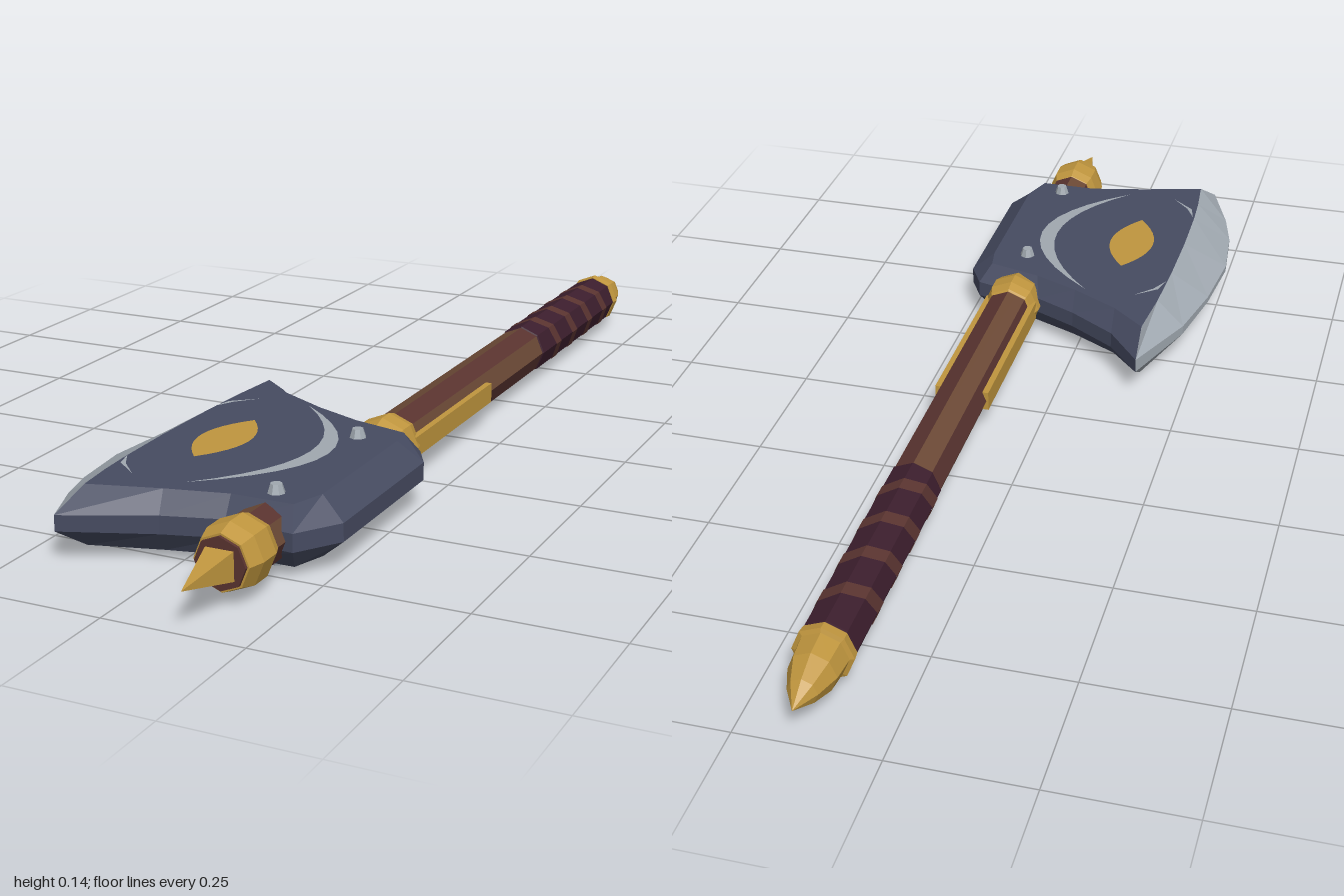
import * as THREE from 'three';

const AX = 0.143, CY = 0.072, HALF = 0.053; // haft axis and half thickness of the head

const mat = (name, color, side = THREE.FrontSide) => {
  const m = new THREE.MeshStandardMaterial({ color, flatShading: true, side });
  m.name = name;
  return m;
};

export function createModel() {
  const slate = mat('slate steel', 0x464b61);
  const silver = mat('bright steel', 0xa0a8b0, THREE.DoubleSide);
  const gold = mat('gold', 0xc0963e, THREE.DoubleSide);
  const brown = mat('brown wood', 0x6c4a36);
  const red = mat('red wood', 0x5a3430, THREE.DoubleSide);
  const purple = mat('dark leather', 0x3c1e2d);

  const model = new THREE.Group();
  model.name = 'battleAxe';
  const add = (name, geo, material, x = 0, y = 0, z = 0) => {
    const mesh = new THREE.Mesh(geo, material);
    mesh.name = name;
    mesh.position.set(x, y, z);
    model.add(mesh);
    return mesh;
  };

  // Octagonal turned part along the haft: profile of [radius, z]
  const turned = (name, profile, material, sides = 8) => {
    const pts = profile.map(([r, z]) => new THREE.Vector2(r, z));
    return add(name, new THREE.LatheGeometry(pts, sides).rotateX(Math.PI / 2), material, AX, CY);
  };

  // Haft with alternating wood tones on its eight faces
  const haft = new THREE.CylinderGeometry(0.049, 0.049, 1.29, 8, 1, true).rotateX(Math.PI / 2);
  haft.clearGroups();
  for (let i = 0; i < 8; i++) haft.addGroup(i * 6, 6, i % 2);
  add('haft', haft, [brown, red], AX, CY, 0.235);
  turned('haftEnd', [[0.047, 0.86], [0.045, 0.885], [0, 0.885]], red);

  // Leather grip and its spiral strap
  turned('grip', [[0.049, -0.86], [0.051, -0.84], [0.051, -0.39], [0.048, -0.385]], purple);
  const strap = [];
  for (let i = 0; i <= 32; i++) {
    const a = i * Math.PI / 4, z = -0.82 + i * 0.0125;
    strap.push([0, 0.03].map(w => [Math.sin(a) * 0.0525 + AX, CY - Math.cos(a) * 0.0525, z + w]));
  }
  add('gripStrap', ribbon(strap), red);

  // Gold fittings
  turned('pommel', [[0, -1], [0.026, -0.955], [0.042, -0.91], [0.046, -0.865], [0.054, -0.862],
    [0.052, -0.845], [0, -0.845]], gold);
  turned('lowerCollar', [[0.046, 0.24], [0.052, 0.25], [0.058, 0.27], [0.058, 0.3], [0.05, 0.325]], gold);
  turned('upperCollar', [[0.046, 0.785], [0.05, 0.79], [0.058, 0.81], [0.058, 0.85],
    [0.049, 0.88], [0.045, 0.88]], gold);
  const spike = new THREE.ConeGeometry(0.035, 0.115, 4).rotateY(Math.PI / 4).rotateX(Math.PI / 2);
  add('spike', spike, gold, AX, CY, 0.9425);
  for (const s of [-1, 1]) {
    add('sidePlate', new THREE.BoxGeometry(0.014, 0.038, 0.36), gold, AX + s * 0.046, CY, 0.09);
  }

  // Axe head
  add('axeHead', headGeometry(), [slate, silver]);

  // Inlays and rivets on both faces
  for (const s of [-1, 1]) {
    const y = CY + s * (HALF + 0.002);
    const eye = [], right = [], left = [];
    for (let i = 0; i <= 12; i++) {
      const t = i / 6 - 1, bow = 1 - t * t;
      eye.push([[-0.06 - 0.046 * bow, y, 0.505 + 0.106 * t], [-0.06 + 0.046 * bow, y, 0.505 + 0.106 * t]]);
      const z = 0.505 + 0.22 * t;
      const a = 0.05 + 0.115 * bow, b = 0.05 + 0.148 * bow;
      right.push([[-0.06 + a, y, z], [-0.06 + b, y, z]]);
      left.push([[Math.max(-0.06 - a, -0.165), y, z], [Math.max(-0.06 - b, -0.165), y, z]]);
    }
    add('eyeInlay', ribbon(eye), gold);
    add('innerCrescent', ribbon(right), silver);
    add('outerCrescent', ribbon(left), silver);
    for (const z of [0.4, 0.7]) {
      const rivet = new THREE.CylinderGeometry(0.01, 0.018, 0.025, 8);
      if (s < 0) rivet.rotateX(Math.PI);
      add('rivet', rivet, silver, AX, CY + s * 0.0565, z);
    }
  }
  return model;
}

// Strip of quads between pairs of points
function ribbon(pairs) {
  const geo = new THREE.BufferGeometry(), index = [];
  geo.setAttribute('position', new THREE.Float32BufferAttribute(pairs.flat(2), 3));
  for (let i = 0; i < pairs.length - 1; i++) {
    const k = i * 2;
    index.push(k, k + 1, k + 3, k, k + 3, k + 2);
  }
  geo.setIndex(index);
  geo.computeVertexNormals();
  return geo;
}

// Bevelled head: rim x, rim z, face x, face z, half thickness of the rim
function headGeometry() {
  const rim = [
    [-0.156, 0.106, -0.153, 0.17, 0.014], [-0.22, 0.265, -0.163, 0.28, 0.009],
    [-0.247, 0.4, -0.168, 0.4, 0.006], [-0.26, 0.54, -0.17, 0.53, 0.006],
    [-0.247, 0.66, -0.168, 0.65, 0.006], [-0.225, 0.74, -0.164, 0.72, 0.009],
    [-0.18, 0.85, -0.156, 0.795, 0.014], // cutting edge ends here
    [-0.024, 0.785, -0.03, 0.76, 0.016], [0.08, 0.755, 0.08, 0.735, 0.016],
    [0.205, 0.765, 0.192, 0.735, 0.016], [0.257, 0.69, 0.213, 0.675, 0.016],
    [0.257, 0.376, 0.213, 0.39, 0.016], [0.228, 0.325, 0.205, 0.345, 0.016],
    [0.09, 0.288, 0.1, 0.318, 0.016], [0.008, 0.25, 0.01, 0.28, 0.016],
    [-0.087, 0.19, -0.085, 0.228, 0.016],
  ];
  const n = rim.length, pos = [], body = [], edge = [];
  for (let level = 0; level < 4; level++) {
    const s = level < 2 ? -1 : 1, face = level === 0 || level === 3;
    for (const [x, z, fx, fz, h] of rim) {
      if (face) pos.push(fx, CY + s * HALF, fz);
      else pos.push(x, CY + s * h, z);
    }
  }
  for (let level = 0; level < 3; level++) {
    for (let i = 0; i < n; i++) {
      const a = level * n + i, b = level * n + (i + 1) % n;
      (i < 6 ? edge : body).push(a, b, b + n, a, b + n, a + n);
    }
  }
  const contour = rim.map(p => new THREE.Vector2(p[2], -p[3]));
  for (const [a, b, c] of THREE.ShapeUtils.triangulateShape(contour, [])) {
    body.push(a + 3 * n, b + 3 * n, c + 3 * n, c, b, a);
  }
  const geo = new THREE.BufferGeometry();
  geo.setAttribute('position', new THREE.Float32BufferAttribute(pos, 3));
  geo.setIndex([...body, ...edge]);
  geo.addGroup(0, body.length, 0);
  geo.addGroup(body.length, edge.length, 1);
  geo.computeVertexNormals();
  return geo;
}
